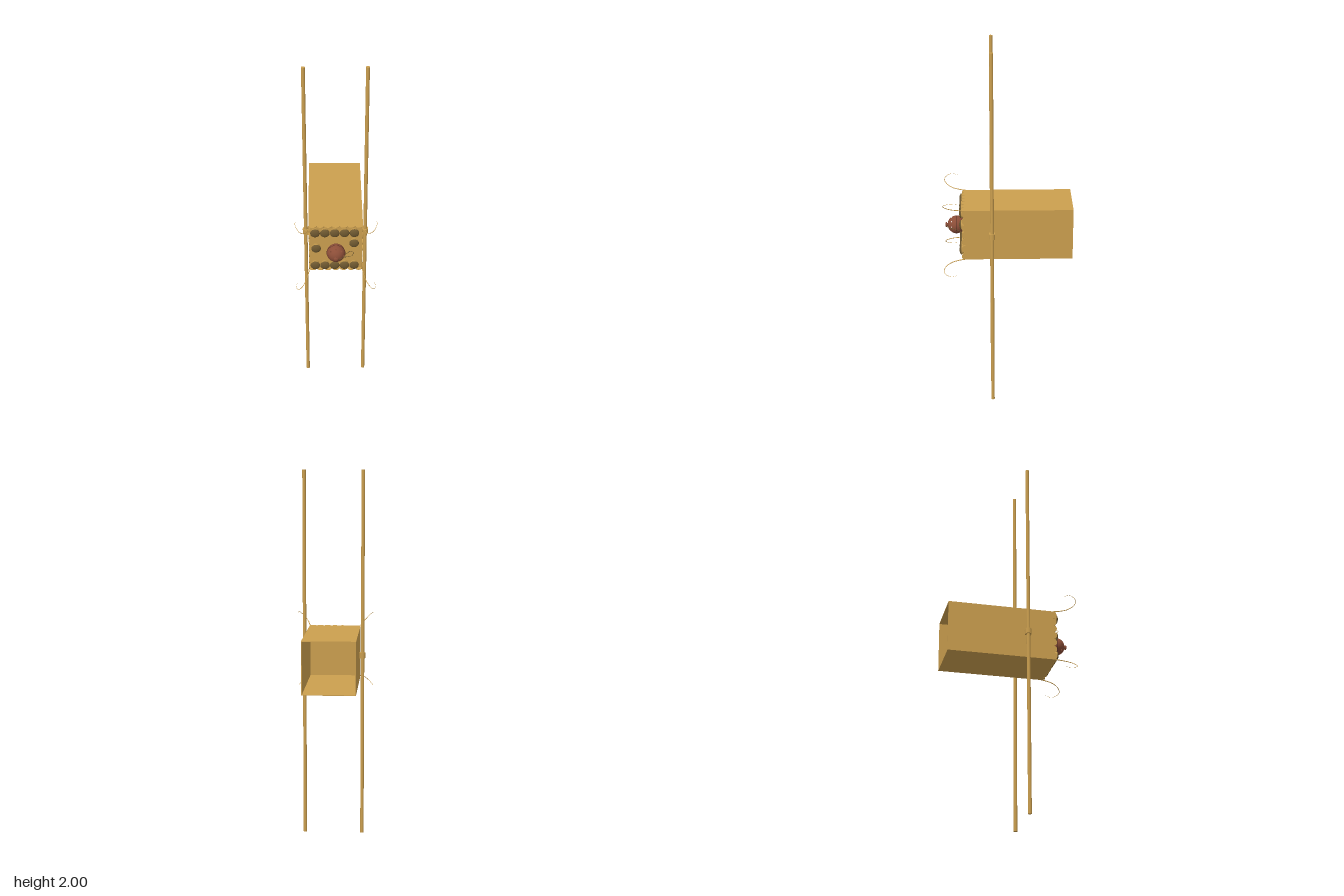
import * as THREE from 'three';

const gold = new THREE.MeshStandardMaterial({ color: 0xcb9f4f });
const goldThin = new THREE.MeshStandardMaterial({ color: 0xcb9f4f, side: THREE.DoubleSide });
const bronze = new THREE.MeshStandardMaterial({ color: 0x6e5830 });
const red = new THREE.MeshStandardMaterial({ color: 0x8c4e38, side: THREE.DoubleSide });
const dark = new THREE.MeshStandardMaterial({ color: 0x4a2a20 });

const H = 0.141;       // half width of the square box
const MID = 1;         // height of the box centre
const BACK = -0.343, NOTCH = 0.227, LIP = 0.245, FACE = 0.228;

function add(parent, name, geometry, material, x = 0, y = 0, z = 0) {
  const mesh = new THREE.Mesh(geometry, material);
  mesh.name = name;
  mesh.position.set(x, y, z);
  parent.add(mesh);
  return mesh;
}

// lathe turned so that its axis points to the front (+z)
function frontLathe(points, segments = 28) {
  return new THREE.LatheGeometry(points.map(([r, z]) => new THREE.Vector2(r, z)), segments).rotateX(Math.PI / 2);
}

// box wall with a row of scallops along its front edge
function wallGeometry() {
  const n = 7, w = (2 * H) / n, s = new THREE.Shape();
  s.moveTo(-H, BACK);
  s.lineTo(H, BACK);
  s.lineTo(H, NOTCH);
  for (let i = 0; i < n; i++) {
    s.absellipse(H - (i + 0.5) * w, NOTCH, w / 2, LIP - NOTCH, 0, Math.PI, false, 0);
  }
  s.closePath();
  return new THREE.ExtrudeGeometry(s, { depth: 0.004, bevelEnabled: false, curveSegments: 10 }).rotateX(Math.PI / 2);
}

// hollow ball with a ring of round holes in its front half
function piercedBall(R) {
  const g = new THREE.SphereGeometry(R, 96, 64).rotateX(Math.PI / 2);
  const holes = [];
  for (let i = 0; i < 8; i++) {
    const a = (i * Math.PI) / 4, z = 0.026, r = Math.sqrt(R * R - z * z);
    holes.push(new THREE.Vector3(r * Math.cos(a), r * Math.sin(a), z));
  }
  const p = g.attributes.position, idx = g.index.array, keep = [], c = new THREE.Vector3(), v = new THREE.Vector3();
  for (let i = 0; i < idx.length; i += 3) {
    c.set(0, 0, 0);
    for (let k = 0; k < 3; k++) c.add(v.fromBufferAttribute(p, idx[i + k]));
    c.divideScalar(3);
    if (holes.every(h => h.distanceTo(c) > 0.0045)) keep.push(idx[i], idx[i + 1], idx[i + 2]);
  }
  g.setIndex(keep);
  return g;
}

// tube that thins out towards its end
function taperedTube(curve, r0, r1, steps = 48, sides = 8) {
  const g = new THREE.TubeGeometry(curve, steps, 1, sides);
  const p = g.attributes.position, v = new THREE.Vector3();
  for (let i = 0; i <= steps; i++) {
    const centre = curve.getPointAt(i / steps), r = THREE.MathUtils.lerp(r0, r1, i / steps);
    for (let j = 0; j <= sides; j++) {
      const k = i * (sides + 1) + j;
      v.fromBufferAttribute(p, k).sub(centre).multiplyScalar(r).add(centre);
      p.setXYZ(k, v.x, v.y, v.z);
    }
  }
  return g;
}

export function createModel() {
  const model = new THREE.Group();
  model.name = 'hangingBox';

  // open-backed box with scalloped front rim
  const box = new THREE.Group();
  box.name = 'box';
  box.position.y = MID;
  model.add(box);
  const wall = wallGeometry();
  for (let i = 0; i < 4; i++) {
    const side = new THREE.Group();
    side.name = 'boxSide';
    side.rotation.z = (i * Math.PI) / 2;
    box.add(side);
    add(side, 'scallopedWall', wall, gold, 0, H, 0);
  }
  add(box, 'frontPanel', new THREE.BoxGeometry(2 * H - 0.006, 2 * H - 0.006, 0.004), gold, 0, 0, FACE - 0.002);

  // round studs on the front
  const collar = frontLathe([[0.019, 0], [0.023, 0.012], [0.025, 0.02]]);
  const domePoints = [];
  for (let i = 0; i <= 10; i++) {
    const a = (i / 10) * Math.PI / 2;
    domePoints.push([0.025 * Math.cos(a), 0.02 + 0.011 * Math.sin(a)]);
  }
  const dome = frontLathe(domePoints);
  const studs = [[-0.103, 0.008], [0.095, 0.041]];
  for (let i = 0; i < 5; i++) studs.push([-0.108 + i * 0.051, 0.108], [-0.108 + i * 0.051, -0.105]);
  for (const [x, y] of studs) {
    const stud = new THREE.Group();
    stud.name = 'stud';
    stud.position.set(x, y, FACE);
    box.add(stud);
    add(stud, 'studCollar', collar, goldThin);
    add(stud, 'studDome', dome, bronze);
  }

  // pierced ball with seam and finial
  const ball = new THREE.Group();
  ball.name = 'ball';
  ball.position.set(0, 0, 0.275);
  box.add(ball);
  add(ball, 'ballShell', piercedBall(0.048), red);
  add(ball, 'ballSeam', new THREE.TorusGeometry(0.048, 0.0012, 8, 64), dark);
  add(ball, 'finial', frontLathe([[0.008, 0.046], [0.007, 0.05], [0.012, 0.052], [0.013, 0.055], [0.01, 0.058], [0.005, 0.06], [0, 0.06]]), red);

  // small chain looping from the finial back to the panel
  const chainPath = new THREE.CatmullRomCurve3([
    [0.008, 0, 0.332], [0.03, -0.004, 0.317], [0.05, -0.006, 0.285], [0.075, -0.01, 0.252],
    [0.093, -0.03, 0.238], [0.085, -0.052, 0.234], [0.055, -0.063, 0.232],
    [0.02, -0.06, 0.232], [0.022, -0.047, 0.231], [0.045, -0.04, 0.23],
  ].map(p => new THREE.Vector3(...p)));
  const link = new THREE.TorusGeometry(0.0016, 0.0006, 6, 10).scale(1, 1.5, 1).rotateX(Math.PI / 2);
  const links = 68, forward = new THREE.Vector3(0, 0, 1);
  for (let i = 0; i <= links; i++) {
    const p = chainPath.getPointAt(i / links);
    const mesh = add(box, 'chainLink', link, bronze, p.x, p.y, p.z);
    mesh.quaternion.setFromUnitVectors(forward, chainPath.getTangentAt(i / links));
    mesh.rotateZ((i % 2) * Math.PI / 2);
  }

  // curling tendrils at the four front corners
  const curl = [[0.228, 0], [0.26, 0.004], [0.3, 0.013], [0.33, 0.029], [0.341, 0.047], [0.329, 0.061], [0.3, 0.07], [0.268, 0.064]];
  for (const sx of [-1, 1]) for (const sy of [-1, 1]) {
    const path = new THREE.CatmullRomCurve3(curl.map(([z, d]) => new THREE.Vector3(sx * (0.14 + d), sy * (0.14 + d), z)));
    add(box, 'cornerTendril', taperedTube(path, 0.0028, 0.0004), gold);
  }

  // upright rods held by round-ended brackets
  const lug = new THREE.Shape();
  lug.moveTo(0.138, -0.016);
  lug.lineTo(0.158, -0.016);
  lug.absarc(0.158, 0, 0.016, -Math.PI / 2, Math.PI / 2, false);
  lug.lineTo(0.138, 0.016);
  lug.closePath();
  const bracket = new THREE.ExtrudeGeometry(lug, { depth: 0.03, bevelEnabled: false, curveSegments: 20 })
    .translate(0, 0, -0.015).rotateX(Math.PI / 2);
  const rod = new THREE.CylinderGeometry(0.0095, 0.0095, 2, 24);
  for (const s of [-1, 1]) {
    add(model, 'rod', rod, gold, s * 0.158, 1, 0.085);
    add(model, 'rodBracket', bracket, gold, 0, MID, 0.085).rotation.y = s < 0 ? Math.PI : 0;
  }
  return model;
}
